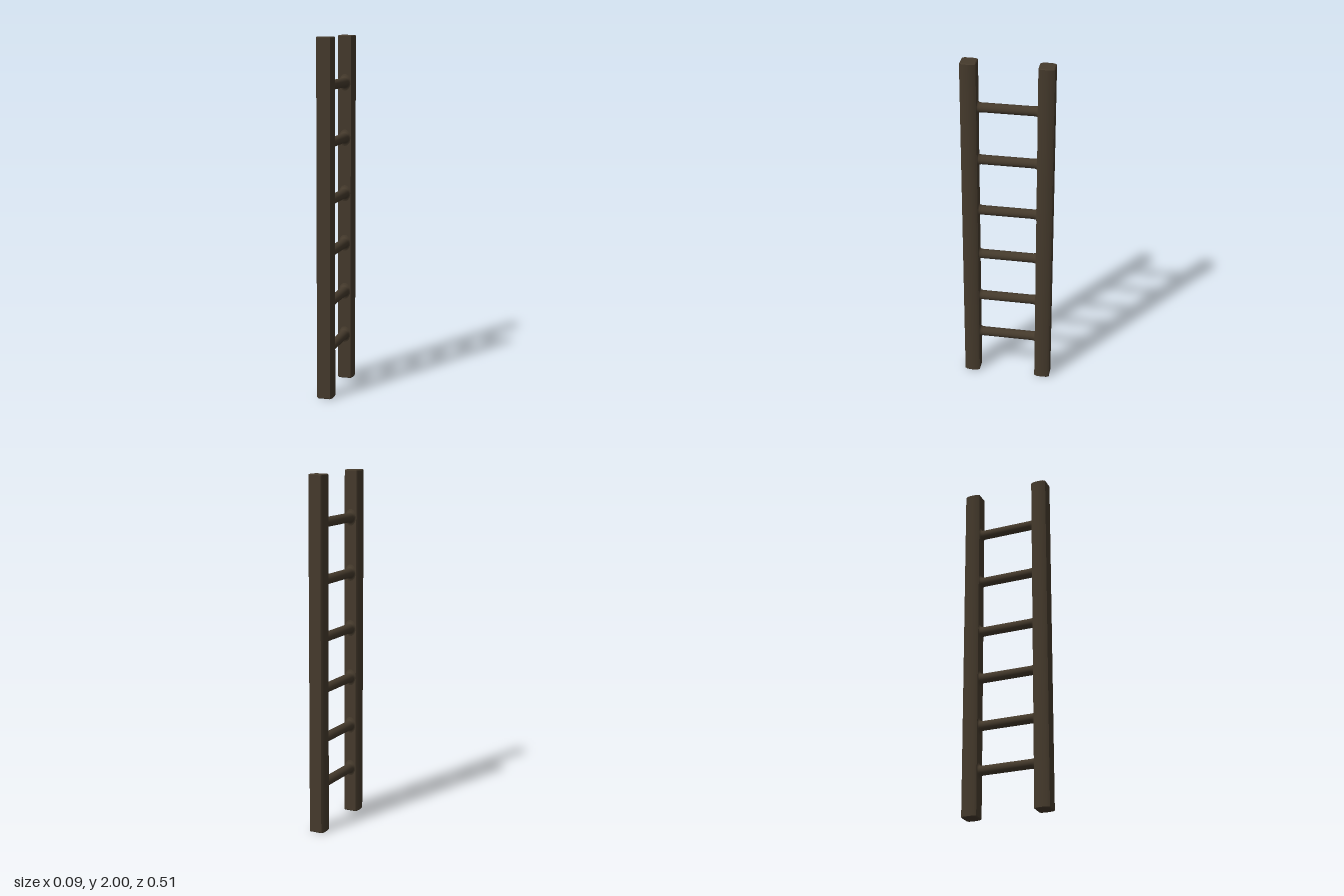
import * as THREE from 'three';
import { toCreasedNormals } from 'three/addons/utils/BufferGeometryUtils.js';

const RAIL_Z = 0.21;
const RUNG_HEIGHTS = [0.265, 0.525, 0.81, 1.1, 1.42, 1.735];

// Upright post: square section with cut corners and slightly bowed sides
function railGeometry() {
  const quarter = [[0.047, 0], [0.044, 0.031], [0.036, 0.044]];
  const mirrored = quarter.slice().reverse().map(([x, y]) => [-x, y]);
  const upper = [...quarter, ...mirrored];
  const lower = upper.slice(1, -1).map(([x, y]) => [-x, -y]);
  const shape = new THREE.Shape([...upper, ...lower].map(([x, y]) => new THREE.Vector2(x, y)));
  const bevel = 0.004;
  const geometry = new THREE.ExtrudeGeometry(shape, {
    depth: 2 - 2 * bevel, bevelThickness: bevel, bevelSize: bevel,
    bevelOffset: -bevel, bevelSegments: 1,
  });
  geometry.translate(0, 0, bevel).rotateX(-Math.PI / 2);
  return toCreasedNormals(geometry, 0.7);
}

// Round bar between the posts, its ends spreading into the inner faces
function rungGeometry() {
  const half = [[0.054, 0.168], [0.04, 0.164], [0.03, 0.16], [0.027, 0.145]];
  const profile = [
    ...half.map(([r, h]) => new THREE.Vector2(r, -h)),
    ...half.slice().reverse().map(([r, h]) => new THREE.Vector2(r, h)),
  ];
  const geometry = new THREE.LatheGeometry(profile, 20).rotateX(Math.PI / 2);
  // The spread is taller than it is wide, so it stays on the post
  const p = geometry.attributes.position;
  for (let i = 0; i < p.count; i++) {
    const r = Math.hypot(p.getX(i), p.getY(i));
    const wide = Math.min(r, 0.027 + (r - 0.027) * 0.33);
    p.setX(i, p.getX(i) * wide / r);
  }
  geometry.computeVertexNormals();
  return geometry;
}

export function createModel() {
  const ladder = new THREE.Group();
  ladder.name = 'ladder';
  const wood = new THREE.MeshStandardMaterial({ color: 0x453a2c });

  const railGeo = railGeometry();
  for (const side of [1, -1]) {
    const rail = new THREE.Mesh(railGeo, wood);
    rail.name = side > 0 ? 'frontRail' : 'backRail';
    rail.position.z = side * RAIL_Z;
    ladder.add(rail);
  }

  const rungGeo = rungGeometry();
  RUNG_HEIGHTS.forEach((y, i) => {
    const rung = new THREE.Mesh(rungGeo, wood);
    rung.name = `rung${i + 1}`;
    rung.position.y = y;
    ladder.add(rung);
  });

  return ladder;
}
